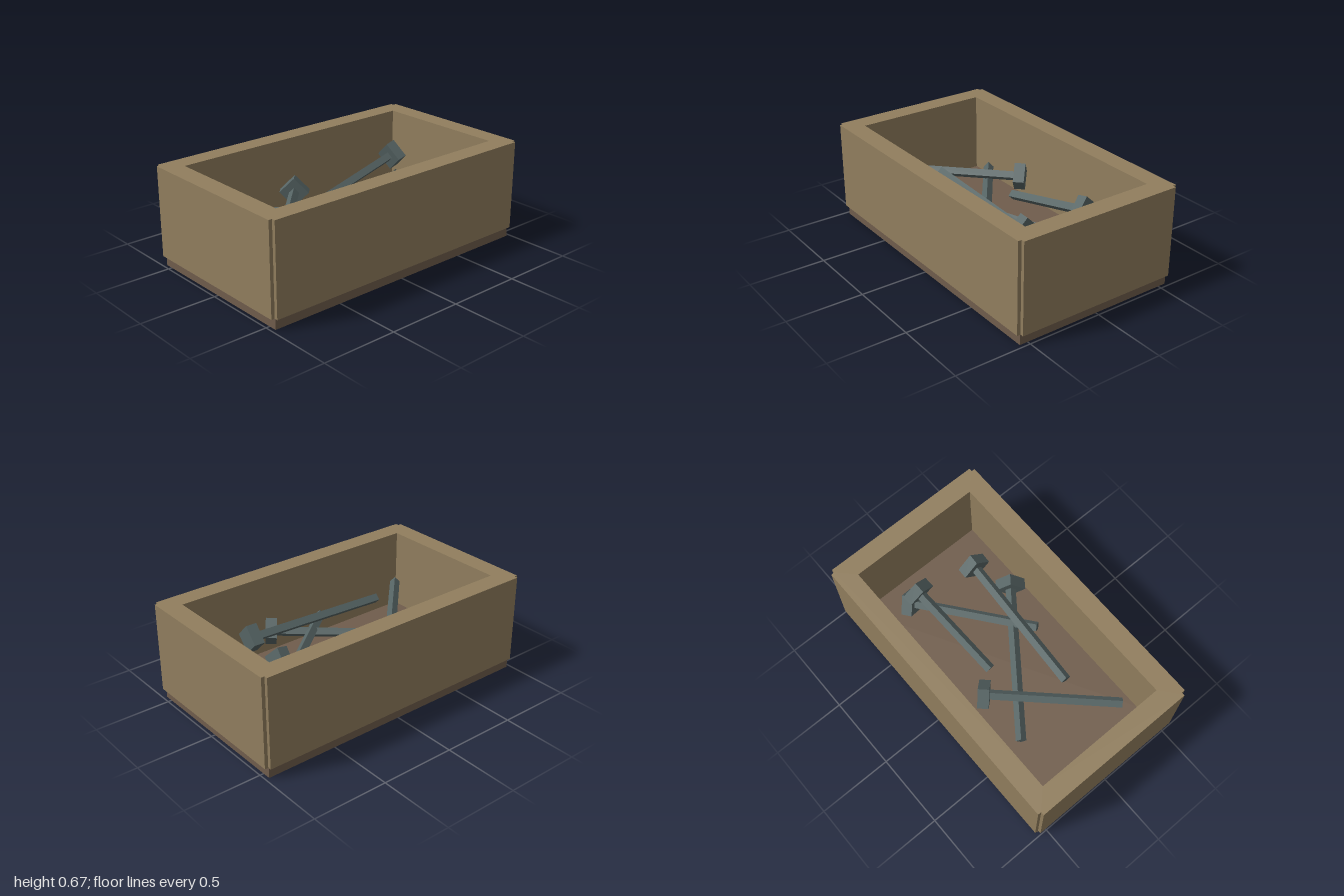
import * as THREE from 'three';

const wood = new THREE.MeshStandardMaterial({ color: 0x917e5e, flatShading: true });
const darkWood = new THREE.MeshStandardMaterial({ color: 0x705d4c, flatShading: true });
const iron = new THREE.MeshStandardMaterial({ color: 0x566464, flatShading: true });

const points = (list) => list.map(([x, y]) => new THREE.Vector2(x, y));

// Four-sided nail running from its tip to the outer face of its head
function makeNail(tip, end) {
  const nail = new THREE.Group();
  nail.name = 'nail';
  const a = new THREE.Vector3(...tip);
  const b = new THREE.Vector3(...end);
  const length = a.distanceTo(b);
  const headLength = 0.072;
  const shaftLength = length - headLength;

  // Lying along z, with a corner edge upwards
  const addPart = (name, radius, partLength, start) => {
    const geometry = new THREE.CylinderGeometry(radius, radius, partLength, 4);
    geometry.rotateX(Math.PI / 2);
    geometry.translate(0, 0, start + partLength / 2);
    const mesh = new THREE.Mesh(geometry, iron);
    mesh.name = name;
    nail.add(mesh);
  };
  addPart('nailShaft', 0.033, shaftLength, 0);
  addPart('nailHead', 0.095, headLength, shaftLength);

  nail.position.copy(a);
  nail.lookAt(b);
  return nail;
}

export function createModel() {
  const model = new THREE.Group();
  model.name = 'nailBox';

  // Base board, its top forming the floor inside the walls
  const base = new THREE.Mesh(new THREE.BoxGeometry(1.95, 0.13, 1.108), darkWood);
  base.position.y = 0.065;
  base.name = 'base';
  model.add(base);

  // Ring of four walls with a small notch at each outer corner
  const X = 1, Z = 0.575, nx = 0.977, nz = 0.552;
  const outline = new THREE.Shape(points([
    [-nx, -Z], [nx, -Z], [nx, -nz], [X, -nz], [X, nz], [nx, nz],
    [nx, Z], [-nx, Z], [-nx, nz], [-X, nz], [-X, -nz], [-nx, -nz],
  ]));
  outline.holes.push(new THREE.Path(points([
    [-0.87, -0.447], [-0.87, 0.447], [0.87, 0.447], [0.87, -0.447],
  ])));
  const wallGeometry = new THREE.ExtrudeGeometry(outline, { depth: 0.595, bevelEnabled: false });
  wallGeometry.rotateX(-Math.PI / 2);
  const walls = new THREE.Mesh(wallGeometry, wood);
  walls.position.y = 0.07;
  walls.name = 'walls';
  model.add(walls);

  // Loose nails: tip, then head end
  const nails = [
    [[-0.75, 0.375, 0.325], [-0.126, 0.365, -0.32]],
    [[-0.035, 0.32, -0.147], [0.655, 0.47, -0.195]],
    [[-0.42, 0.42, 0.145], [0.58, 0.425, 0.205]],
    [[-0.515, 0.3, -0.3], [0.345, 0.35, 0.34]],
    [[-0.03, 0.385, 0.25], [0.71, 0.22, -0.25]],
  ];
  for (const [tip, end] of nails) model.add(makeNail(tip, end));

  return model;
}
